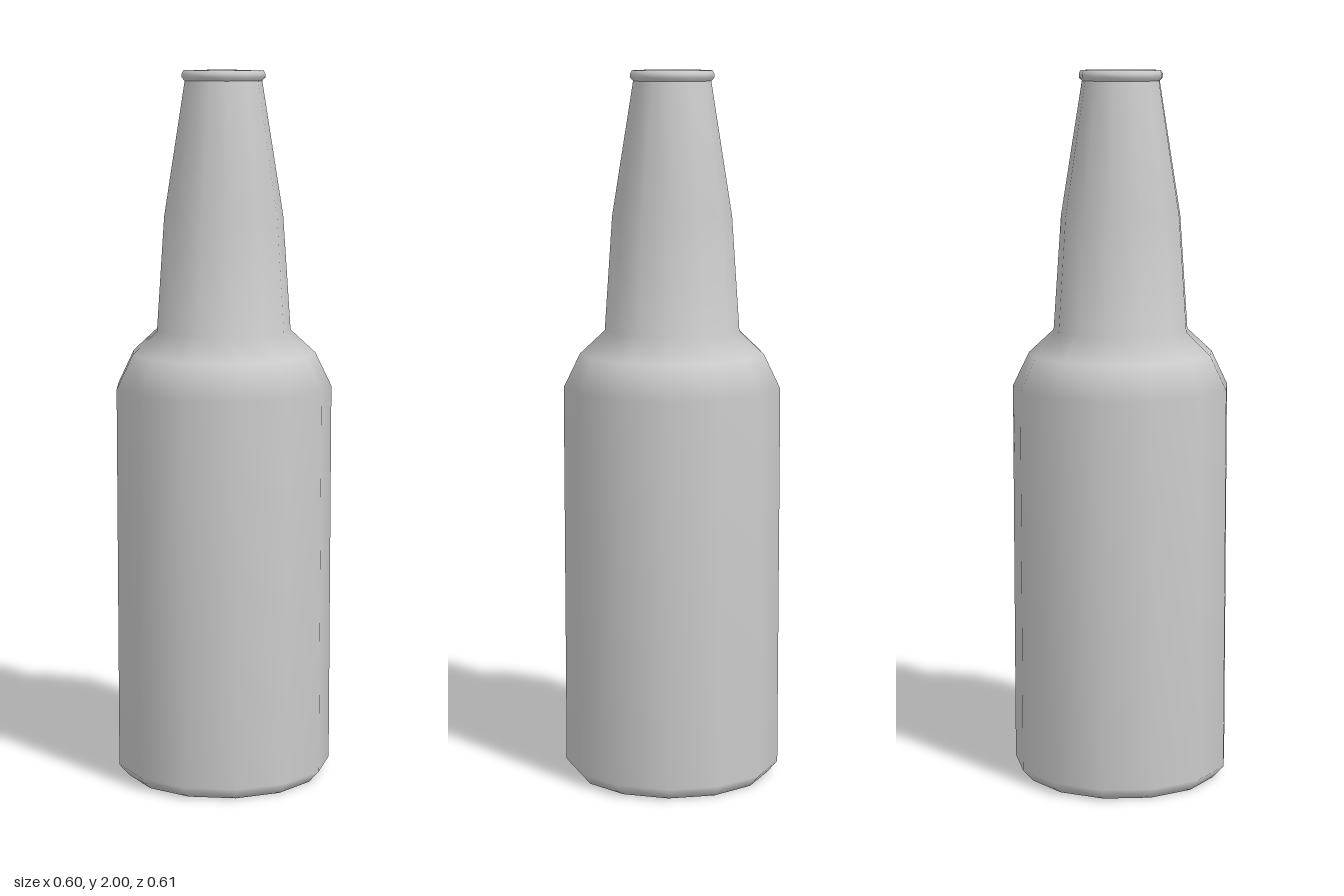
import * as THREE from 'three';

const SIDES = 13;

export function createModel() {
  const group = new THREE.Group();
  const material = new THREE.MeshStandardMaterial({ color: 0xcccccc });

  // Revolve a [radius, height] profile, with one corner pointing to +x
  const addLathe = (name, profile) => {
    const points = profile.map(([r, y]) => new THREE.Vector2(r, y));
    const geometry = new THREE.LatheGeometry(points, SIDES, Math.PI / 2);
    const mesh = new THREE.Mesh(geometry, material);
    mesh.name = name;
    mesh.position.x = -0.004; // centres the odd-sided outline
    group.add(mesh);
  };

  // Base, body, shoulder and neck
  addLathe('bottleBody', [
    [0, 0], [0.275, 0], [0.306, 0.035],
    [0.306, 1.12], [0.26, 1.215], [0.19, 1.28],
    [0.168, 1.6], [0.108, 1.975],
  ]);

  // Rolled lip around the mouth
  addLathe('lip', [
    [0.108, 1.97], [0.117, 1.98], [0.117, 1.99],
    [0.112, 2.0], [0.106, 2.0], [0.103, 1.99],
  ]);

  // Tapering inside of the mouth and its floor
  addLathe('mouthInside', [[0.103, 1.99], [0.06, 1.8]]);
  addLathe('mouthFloor', [[0.06, 1.8], [0, 1.8]]);

  return group;
}
